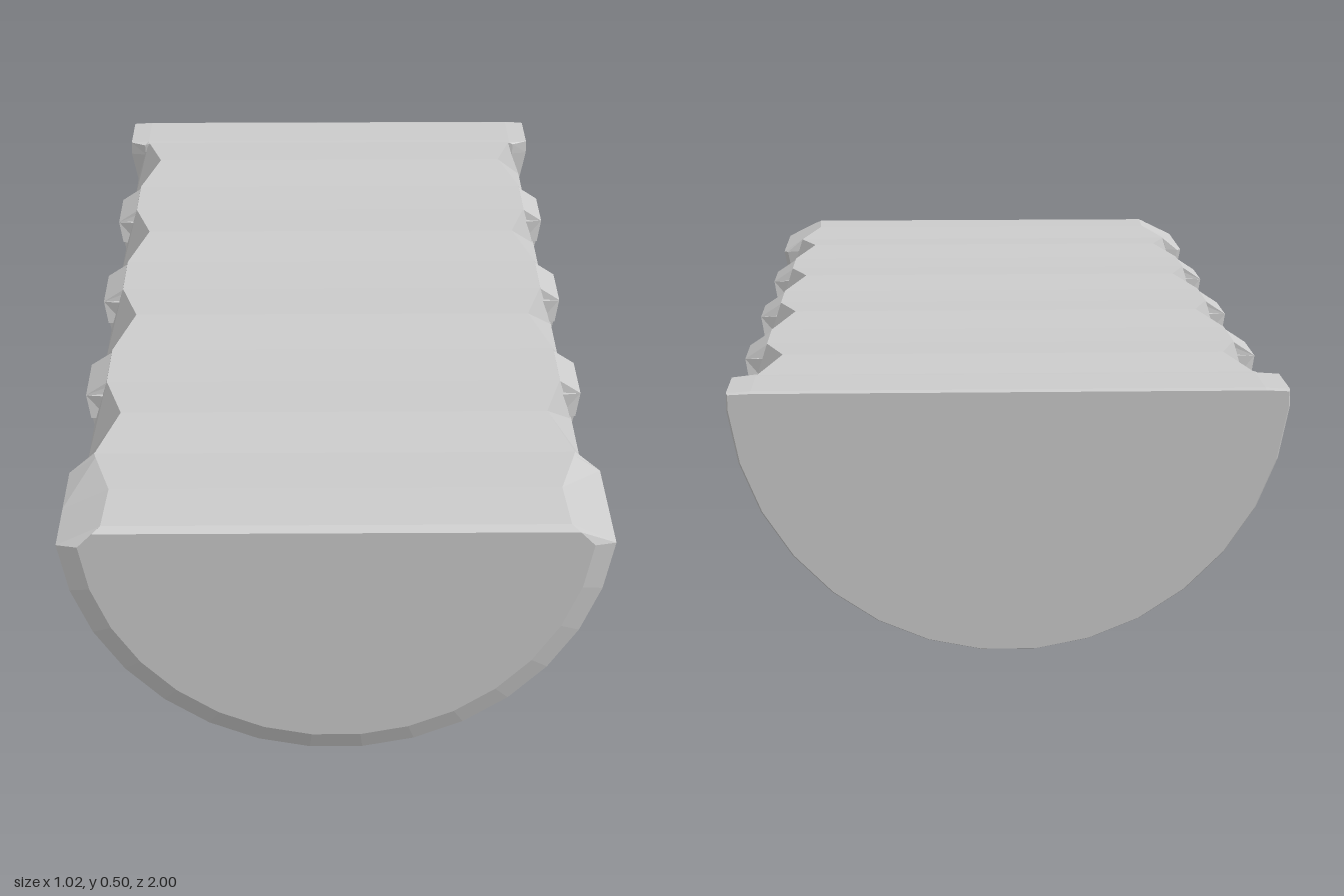
import * as THREE from 'three';

const CENTRE_Y = 0.508, R = 0.51, SEGMENTS = 15;
const material = new THREE.MeshStandardMaterial({ color: 0xcccccc, flatShading: true });

// Skin between convex rings of equal point count, closed at both ends
function loft(rings, name) {
  const pos = [];
  const tri = (a, b, c) => pos.push(...a, ...b, ...c);
  const n = rings[0].length;
  for (let k = 0; k < rings.length - 1; k++) {
    for (let i = 0; i < n; i++) {
      const j = (i + 1) % n;
      tri(rings[k][i], rings[k][j], rings[k + 1][j]);
      tri(rings[k][i], rings[k + 1][j], rings[k + 1][i]);
    }
  }
  const first = rings[0], last = rings[rings.length - 1];
  for (let i = 1; i < n - 1; i++) {
    tri(first[0], first[i + 1], first[i]);
    tri(last[0], last[i], last[i + 1]);
  }
  const geometry = new THREE.BufferGeometry();
  geometry.setAttribute('position', new THREE.Float32BufferAttribute(pos, 3));
  geometry.computeVertexNormals();
  const mesh = new THREE.Mesh(geometry, material);
  mesh.name = name;
  return mesh;
}

// Lower half circle from -x round to +x, plus optional mirrored top corners
function arc(r, z, corners = []) {
  const points = [];
  for (let i = 0; i <= SEGMENTS; i++) {
    const a = THREE.MathUtils.degToRad(-84.375 + 11.25 * i);
    points.push([r * Math.sin(a), CENTRE_Y - r * Math.cos(a), z]);
  }
  const right = corners.map(([x, y]) => [x, y, z]);
  const left = corners.map(([x, y]) => [-x, y, z]).reverse();
  return [...points, ...right, ...left];
}

// Half-ring rib: wider at its inner edge than at its outer edge
function rib(z) {
  const r = R - 0.004;
  const edges = [arc(r, z + 0.066), arc(r, z - 0.066), arc(0.467, z - 0.078), arc(0.467, z + 0.078)];
  return loft(edges[0].map((_, i) => edges.map((edge) => edge[i])), 'rib');
}

// Sloping block joining a rib end to the deck
function ribShoulder(z, side) {
  const ring = (dir) => [[0.43, 0.41, 0.078], [0.495, 0.41, 0.074], [0.504, 0.459, 0.066],
    [0.457, 0.49, 0.066], [0.43, 0.49, 0.066]]
    .map(([x, y, half]) => [side * x, y, z + dir * half]);
  const rings = [ring(-1), ring(1)];
  if (side < 0) rings.forEach((r) => r.reverse());
  return loft(rings, 'ribShoulder');
}

export function createModel() {
  const model = new THREE.Group();
  model.name = 'ribbedHalfCylinder';

  // Deck: gently waved slab whose top narrows in the middle of each bay
  const stations = [[-0.862, 0.46, 0.491]];
  for (let i = 0; i < 4; i++) {
    const mid = -0.72 + i * 0.43;
    stations.push([mid, 0.42, 0.5], [mid + 0.145, 0.46, 0.491]);
    if (i < 3) stations.push([mid + 0.285, 0.46, 0.491]);
  }
  model.add(loft(stations.map(([z, w, y]) =>
    [[-0.488, 0.4, z], [0.488, 0.4, z], [w, y, z], [-w, y, z]]), 'deck'));

  // Solid front cap: chamfered rim, sloping top corners, top continuing the deck wave
  model.add(loft([
    arc(0.47, 0.708, [[0.46, 0.49]]),
    arc(0.5, 0.714, [[0.46, 0.491]]),
    arc(R, 0.73, [[0.456, 0.492]]),
    arc(R, 0.86, [[0.42, 0.5]]),
    arc(R, 0.985, [[0.425, 0.498]]),
    arc(0.47, 1, [[0.44, 0.49]]),
  ], 'frontCap'));

  // Solid back cap with square top corners
  const square = [[0.504, 0.489], [0.46, 0.492]];
  model.add(loft([
    arc(0.503, -1, [[0.501, 0.487], [0.46, 0.489]]),
    arc(R - 0.003, -0.99, square),
    arc(R - 0.003, -0.865, square),
    arc(0.47, -0.85, [[0.469, 0.487], [0.46, 0.491]]),
  ], 'backCap'));

  // Open ribs between the caps
  for (const z of [-0.502, -0.073, 0.357]) {
    const group = new THREE.Group();
    group.name = 'ribFrame';
    group.add(rib(z), ribShoulder(z, 1), ribShoulder(z, -1));
    model.add(group);
  }
  return model;
}
